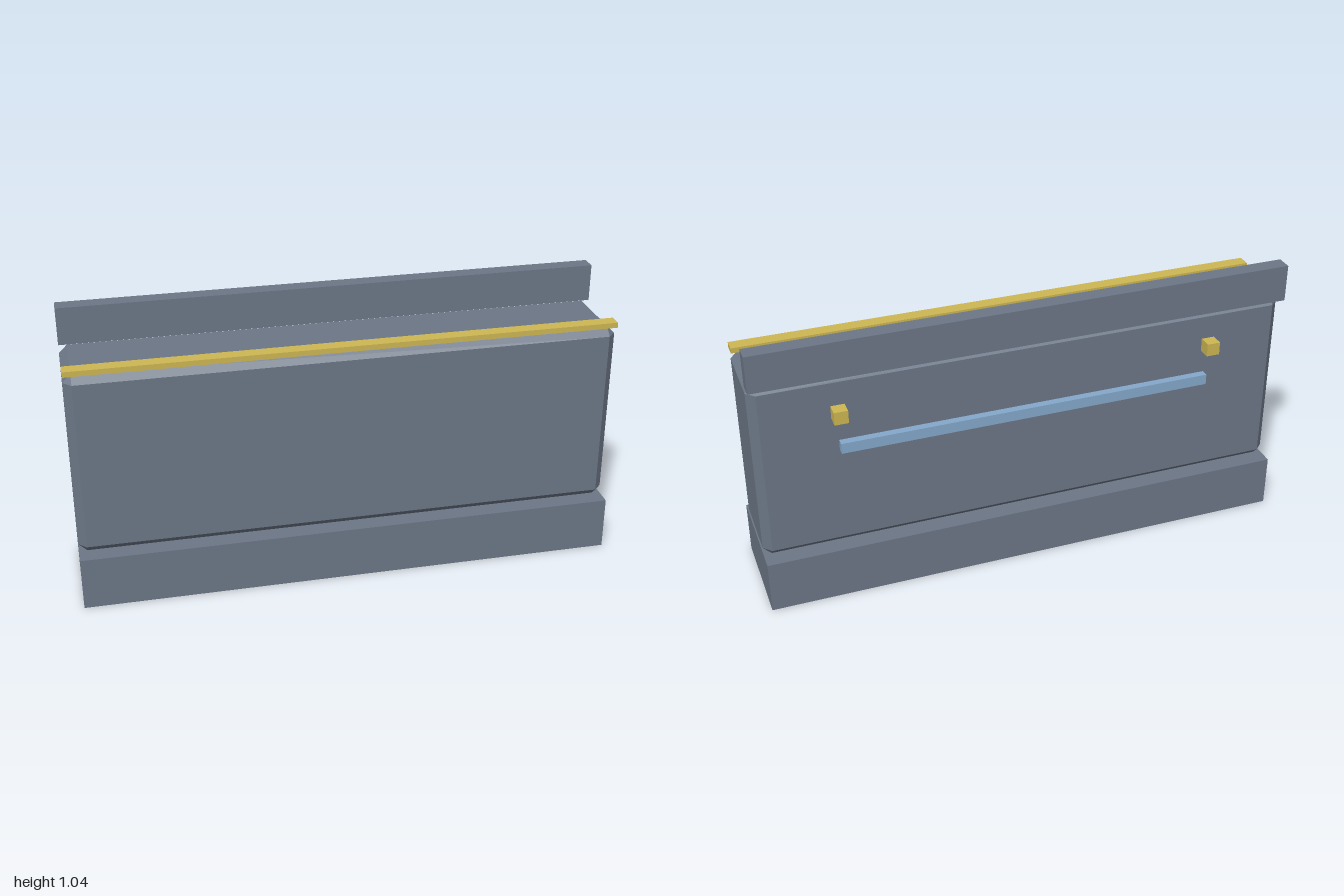
import * as THREE from 'three';
import { ConvexGeometry } from 'three/addons/geometries/ConvexGeometry.js';

const paint = (name, color) => {
  const m = new THREE.MeshStandardMaterial({ color });
  m.name = name;
  return m;
};

// Box with every edge and corner cut at 45 degrees
function chamferedBox(w, h, d, c) {
  const points = [];
  for (const x of [-1, 1]) for (const y of [-1, 1]) for (const z of [-1, 1]) {
    for (let outer = 0; outer < 3; outer++) {
      const inset = [c, c, c];
      inset[outer] = 0;
      points.push(new THREE.Vector3(
        x * (w / 2 - inset[0]), y * (h / 2 - inset[1]), z * (d / 2 - inset[2])));
    }
  }
  return new ConvexGeometry(points);
}

export function createModel() {
  const group = new THREE.Group();
  group.name = 'barrier';
  const slate = paint('slate grey', 0x6b7686);
  const gold = paint('gold', 0xcdb753);
  const blue = paint('light blue', 0x84a8cb);

  const add = (name, geometry, material, x, y, z) => {
    const mesh = new THREE.Mesh(geometry, material);
    mesh.name = name;
    mesh.position.set(x, y, z);
    group.add(mesh);
  };
  // Box given by its width, centre x and its y and z ranges
  const box = (name, material, w, x, [y0, y1], [z0, z1]) =>
    add(name, new THREE.BoxGeometry(w, y1 - y0, z1 - z0), material, x, (y0 + y1) / 2, (z0 + z1) / 2);

  // Main masses
  box('base', slate, 2, 0, [0, 0.2], [-0.187, 0.212]);
  add('body', chamferedBox(2, 0.7, 0.318, 0.03), slate, 0, 0.55, 0.013);
  box('backBoard', slate, 2, 0, [0.9, 1.04], [-0.177, -0.117]);

  // Front trim on the top edge
  box('frontRail', gold, 2, 0, [0.901, 0.921], [0.118, 0.168]);

  // Fittings on the back
  box('backStrip', blue, 1.4, 0, [0.6, 0.64], [-0.175, -0.145]);
  for (const [side, name] of [[1, 'leftKnob'], [-1, 'rightKnob']]) {
    box(name, gold, 0.05, side * 0.7, [0.742, 0.791], [-0.212, -0.163]);
  }
  return group;
}
